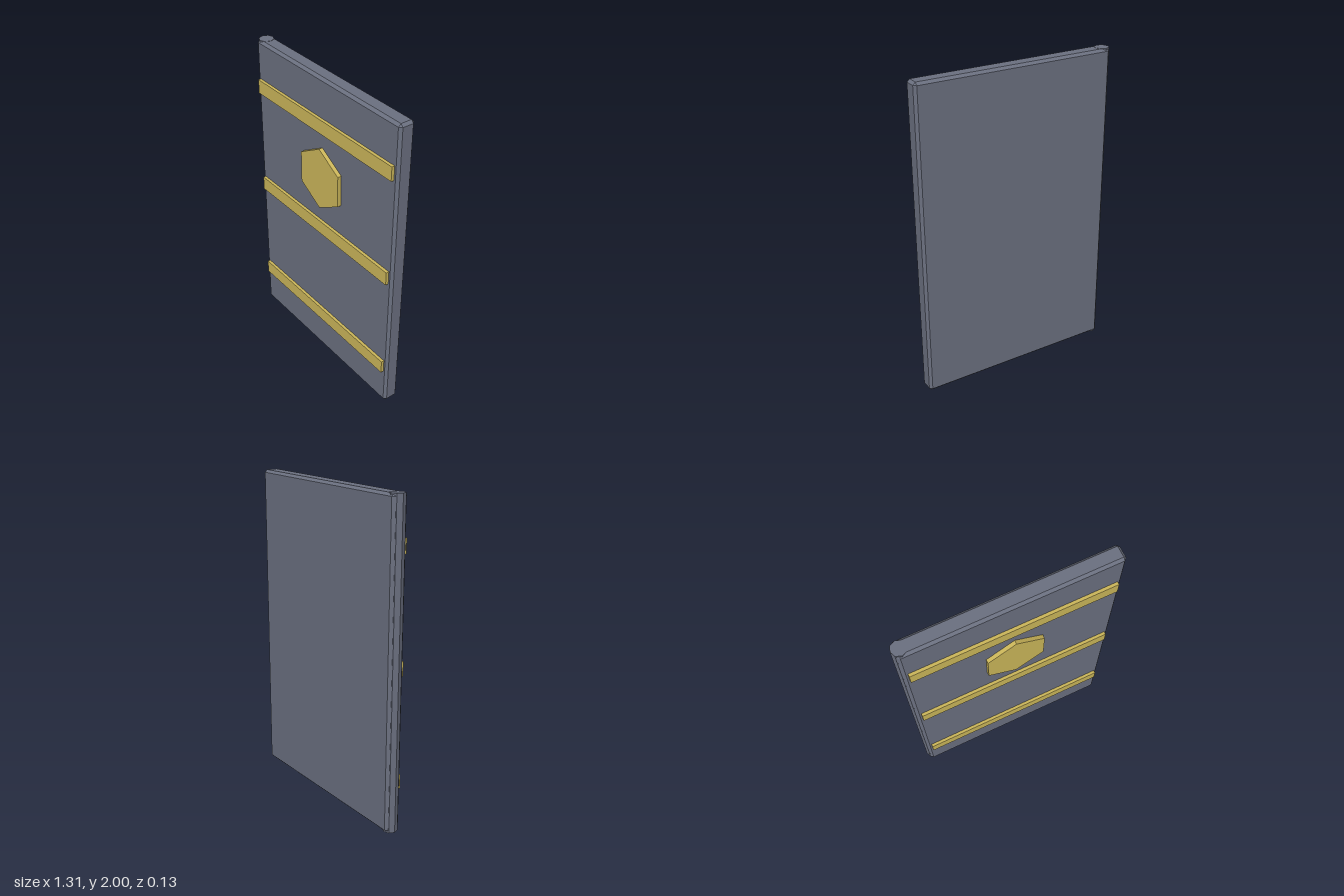
import * as THREE from 'three';
import { ConvexGeometry } from 'three/addons/geometries/ConvexGeometry.js';

const steel = new THREE.MeshStandardMaterial({ name: 'slate metal', color: 0x6b7080 });
const brass = new THREE.MeshStandardMaterial({ name: 'dull brass', color: 0xccb75a });
steel.flatShading = brass.flatShading = true;

// Box with every edge cut at 45 degrees
function chamferedBox(w, h, d, c) {
  const points = [];
  for (const sx of [-1, 1]) for (const sy of [-1, 1]) for (const sz of [-1, 1]) {
    for (let axis = 0; axis < 3; axis++) {
      const inset = [c, c, c];
      inset[axis] = 0;
      points.push(new THREE.Vector3(
        sx * (w / 2 - inset[0]), sy * (h / 2 - inset[1]), sz * (d / 2 - inset[2])));
    }
  }
  return new ConvexGeometry(points);
}

export function createModel() {
  const door = new THREE.Group();
  door.name = 'door';

  function add(name, geometry, material, x, y, z) {
    const mesh = new THREE.Mesh(geometry, material);
    mesh.name = name;
    mesh.position.set(x, y, z);
    door.add(mesh);
    return mesh;
  }

  // Door leaf
  add('panel', chamferedBox(1.29, 1.997, 0.102, 0.016), steel, 0.007, 1, -0.014);

  // Eight-sided hinge post along the edge
  add('hingePost', new THREE.CylinderGeometry(0.046, 0.046, 2, 8), steel, -0.609, 1, -0.014);

  // Cross bands on the front
  [0.298, 1.002, 1.706].forEach((y, i) => {
    add('band' + (i + 1), new THREE.BoxGeometry(1.235, 0.09, 0.025), brass, 0.007, y, 0.0435);
  });

  // Hexagonal plate, point upward
  const plate = new THREE.CylinderGeometry(0.204, 0.204, 0.03, 6);
  plate.rotateX(Math.PI / 2);
  add('hexPlate', plate, brass, 0.007, 1.357, 0.047);

  return door;
}
